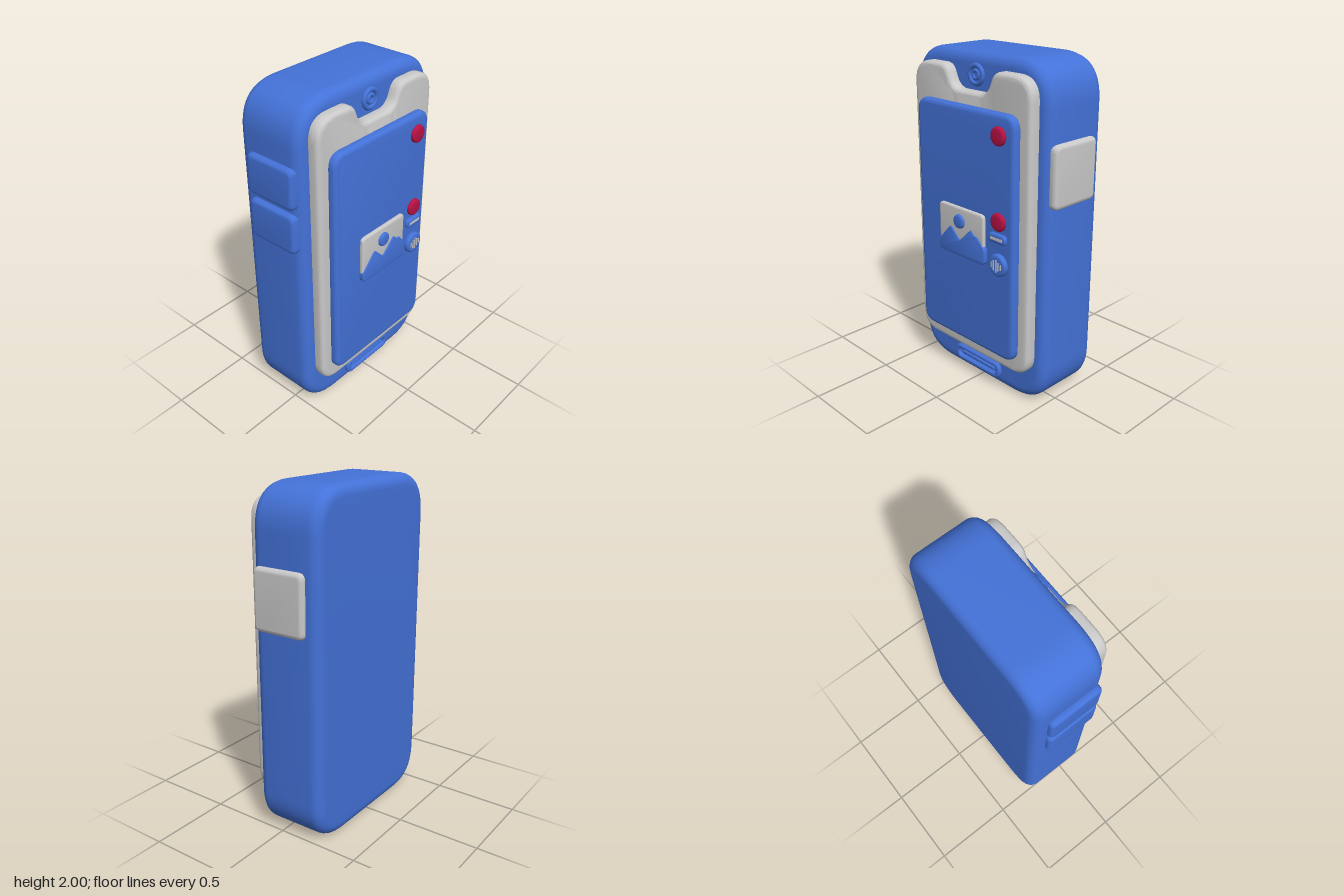
import * as THREE from 'three';
import { mergeVertices, toCreasedNormals } from 'three/addons/utils/BufferGeometryUtils.js';

const mat = (name, color) => new THREE.MeshStandardMaterial({ name, color });

// Closed shape through [x, y, cornerRadius] points, corners rounded
function roundedShape(points, Type = THREE.Shape) {
  const shape = new Type();
  const n = points.length;
  points.forEach(([x, y, r], i) => {
    const toward = ([px, py]) => {
      const d = Math.hypot(px - x, py - y);
      return [x + (px - x) * r / d, y + (py - y) * r / d];
    };
    const a = toward(points[(i + n - 1) % n]);
    const b = toward(points[(i + 1) % n]);
    if (i === 0) shape.moveTo(...a); else shape.lineTo(...a);
    if (r > 0) shape.quadraticCurveTo(x, y, ...b);
  });
  shape.closePath();
  return shape;
}

// Corner points of a rectangle, counter-clockwise
const rect = (x0, y0, x1, y1, r) => [[x0, y0, r], [x1, y0, r], [x1, y1, r], [x0, y1, r]];

// Soft-edged slab between z0 and z1
function slab(shape, z0, z1, bevel, curveSegments = 10) {
  let g = new THREE.ExtrudeGeometry(shape, {
    depth: z1 - z0 - 2 * bevel, bevelEnabled: true, bevelThickness: bevel,
    bevelSize: bevel, bevelOffset: -bevel, bevelSegments: 6, curveSegments,
  });
  g.translate(0, 0, z0 + bevel);
  g.deleteAttribute('normal');
  g.deleteAttribute('uv');
  g = mergeVertices(g, 1e-4);
  return toCreasedNormals(g, 0.6);
}

export function createModel() {
  const blue = mat('case blue', 0x4472d8);
  const grey = mat('light grey', 0xcacaca);
  const red = mat('signal red', 0xb81245);

  const model = new THREE.Group();
  model.name = 'handheldDevice';
  const add = (name, geometry, material, parent = model) => {
    const mesh = new THREE.Mesh(geometry, material);
    mesh.name = name;
    parent.add(mesh);
    return mesh;
  };
  const disc = (x, y, r, z0, z1, bevel) => {
    const s = new THREE.Shape();
    s.absarc(0, 0, r, 0, Math.PI * 2);
    return slab(s, z0, z1, bevel, 16).translate(x, y, 0);
  };

  // Thick case
  add('case', slab(roundedShape(rect(-0.53, 0, 0.53, 2, 0.25)), -0.29, 0.145, 0.065, 16), blue);

  // Screen border with a notch at the top
  const border = roundedShape([
    [-0.46, 0.2, 0.13], [0.46, 0.2, 0.13], [0.46, 1.92, 0.13], [0.185, 1.92, 0.05],
    [0.13, 1.79, 0.06], [-0.13, 1.79, 0.06], [-0.185, 1.92, 0.05], [-0.46, 1.92, 0.13],
  ]);
  add('screenBorder', slab(border, 0.12, 0.21, 0.028), grey);

  // Raised screen
  add('screen', slab(roundedShape(rect(-0.39, 0.29, 0.39, 1.72, 0.08)), 0.19, 0.255, 0.025), blue);

  // Camera in the notch
  add('cameraBase', disc(0, 1.875, 0.062, 0.13, 0.152, 0.008), blue);
  add('cameraRing', new THREE.TorusGeometry(0.05, 0.014, 10, 32).translate(0, 1.875, 0.15), blue);
  add('cameraLens', new THREE.TorusGeometry(0.022, 0.01, 10, 24).translate(0, 1.875, 0.152), blue);

  // Speaker slot: raised rim around an inner bar
  const rim = roundedShape(rect(-0.195, 0.06, 0.195, 0.16, 0.048));
  rim.holes.push(roundedShape(rect(-0.165, 0.086, 0.165, 0.134, 0.022), THREE.Path));
  add('speakerRim', slab(rim, 0.12, 0.17, 0.01), blue);
  add('speakerBar', slab(roundedShape(rect(-0.145, 0.1, 0.145, 0.12, 0.009)), 0.13, 0.16, 0.006), blue);

  // Picture icon: card, hills and sun
  const picture = new THREE.Group();
  picture.name = 'pictureIcon';
  model.add(picture);
  add('pictureCard', slab(roundedShape(rect(-0.19, 0.85, 0.175, 1.14, 0.025)), 0.24, 0.275, 0.008), grey, picture);
  const hills = roundedShape([
    [-0.192, 0.848, 0.03], [0.188, 0.848, 0.03], [0.188, 0.94, 0.015], [0.13, 1.005, 0.015],
    [0.105, 1.005, 0.01], [0.08, 1.035, 0.015], [-0.015, 0.945, 0.012], [-0.09, 1.02, 0.02],
    [-0.192, 0.91, 0.015],
  ]);
  add('pictureHills', slab(hills, 0.245, 0.282, 0.006), blue, picture);
  add('pictureSun', disc(-0.015, 1.06, 0.042, 0.25, 0.292, 0.012), blue, picture);

  // Red round buttons
  for (const [name, y] of [['upperRedButton', 1.605], ['lowerRedButton', 1.13]])
    add(name, disc(0.282, y, 0.052, 0.24, 0.277, 0.014), red);

  // Small label pill
  add('labelPill', slab(roundedShape(rect(0.215, 1.007, 0.345, 1.063, 0.026)), 0.24, 0.276, 0.01), blue);
  add('labelStripe', new THREE.BoxGeometry(0.09, 0.016, 0.006).translate(0.28, 1.035, 0.275), grey);

  // Sound button with level bars
  add('soundButton', disc(0.285, 0.88, 0.066, 0.24, 0.282, 0.014), blue);
  [0.03, 0.06, 0.075, 0.05, 0.03].forEach((h, i) =>
    add('soundBar', new THREE.BoxGeometry(0.007, h, 0.008).translate(0.285 + (i - 2) * 0.018, 0.88, 0.282), grey));

  // Side buttons, drawn in the side plane and turned to face outward
  const sideButton = (name, side, y0, y1, outer, material) => {
    const g = slab(roundedShape(rect(-0.165, y0, 0.165, y1, 0.04)), 0.48, outer, 0.025);
    add(name, g.rotateY(side * Math.PI / 2).translate(0, 0, -0.047), material);
  };
  sideButton('powerButton', 1, 1.22, 1.575, 0.56, grey);
  sideButton('volumeUpButton', -1, 1.42, 1.66, 0.563, blue);
  sideButton('volumeDownButton', -1, 1.15, 1.39, 0.563, blue);

  return model;
}
